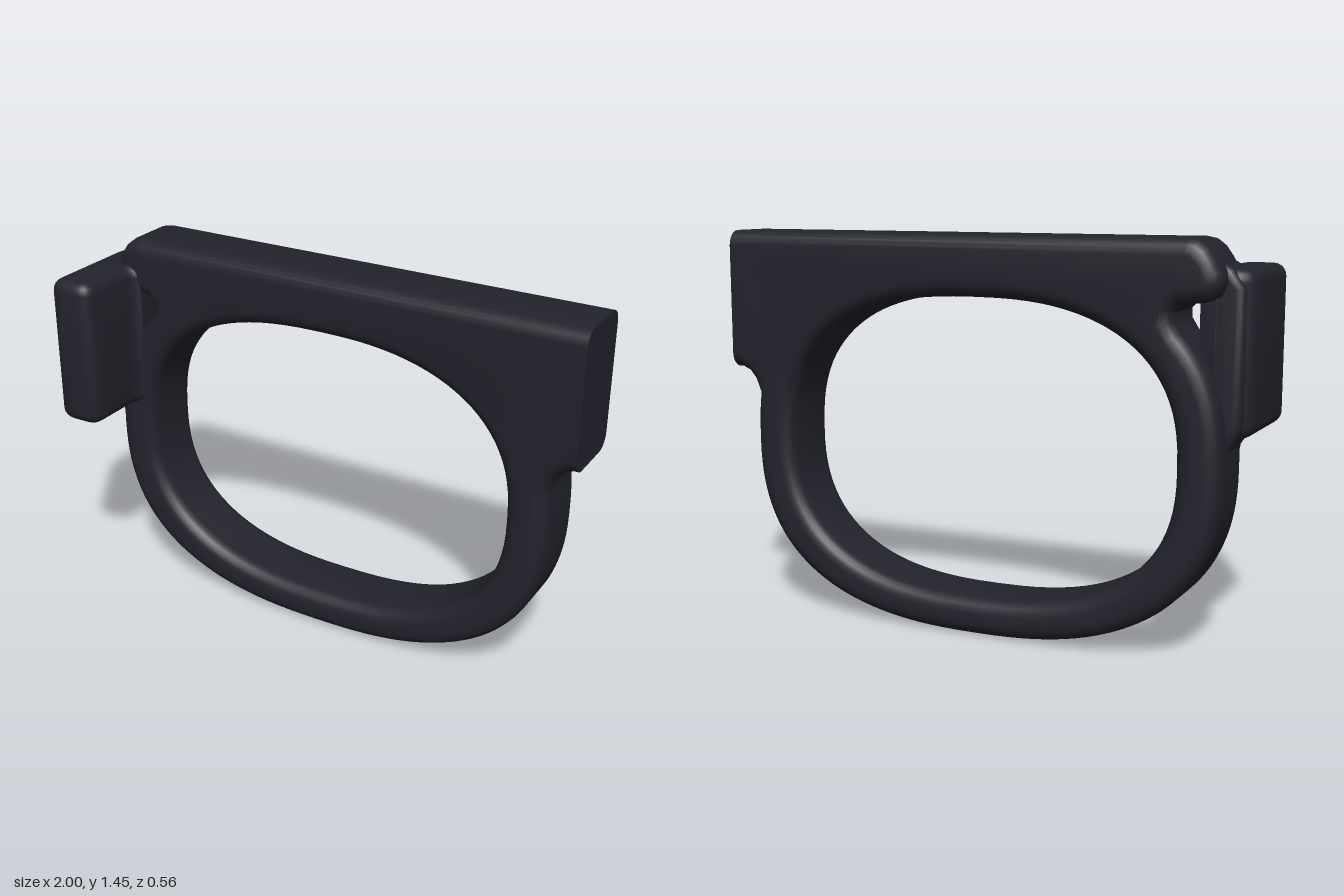
import * as THREE from 'three';
import { toCreasedNormals } from 'three/addons/utils/BufferGeometryUtils.js';

const V = (x, y) => new THREE.Vector2(x, y);

// Points on a superellipse between two angles
function squircle(cx, cy, a, b, t0, t1, n) {
  const p = v => Math.sign(v) * Math.pow(Math.abs(v), 0.8);
  return Array.from({ length: n }, (_, i) => {
    const t = t0 + (t1 - t0) * i / (n - 1);
    return V(cx + a * p(Math.cos(t)), cy + b * p(Math.sin(t)));
  });
}

// Extrusion with rounded edges that keeps the outline and total depth
function roundedExtrude(shape, depth, r) {
  return new THREE.ExtrudeGeometry(shape, {
    depth: depth - 2 * r, bevelEnabled: true, bevelThickness: r,
    bevelSize: r, bevelOffset: -r, bevelSegments: 5, curveSegments: 6,
  }).translate(0, 0, r);
}

export function createModel() {
  const group = new THREE.Group();
  const dark = new THREE.MeshStandardMaterial({ color: 0x23232d });
  dark.name = 'charcoal';
  const add = (geo, name) => {
    const mesh = new THREE.Mesh(toCreasedNormals(geo, 0.75), dark);
    mesh.name = name;
    group.add(mesh);
  };

  // Ring, top bar and end block share one outline, with a notch below the bar's right end
  const outline = new THREE.Shape([
    V(1.07, 0.93), V(0.98, 0.93), V(0.945, 0.915), V(0.92, 0.885),
    ...squircle(-0.01, 0.68, 0.92, 0.68, 0.16, -3.8, 90),
    V(-0.75, 1.175), V(-0.75, 1.205), V(-0.775, 1.23), V(-0.86, 1.24),
    V(-0.9, 1.26), V(-0.92, 1.3), V(-0.915, 1.34), V(-0.89, 1.385),
    V(-0.865, 1.42), V(-0.835, 1.443), V(-0.8, 1.45), V(1.07, 1.45),
  ]);
  outline.holes.push(new THREE.Path(
    squircle(-0.01, 0.685, 0.76, 0.545, 0, Math.PI * 2, 97).slice(0, -1)));
  const frame = roundedExtrude(outline, 0.28, 0.055).translate(0, 0, -0.28);

  // Cut the end block flat at x = 1
  const pos = frame.attributes.position;
  for (let i = 0; i < pos.count; i++) pos.setX(i, Math.min(pos.getX(i), 1));
  add(frame, 'frame');

  // Side tab: plan outline (x, -z) with rounded corners, raised along y
  const plan = new THREE.Shape();
  plan.moveTo(-0.94, -0.28);
  plan.lineTo(-0.88, -0.28);
  plan.quadraticCurveTo(-0.82, -0.28, -0.82, -0.22);
  plan.lineTo(-0.82, -0.05);
  plan.quadraticCurveTo(-0.82, -0.01, -0.79, 0.005);
  plan.lineTo(-0.79, 0.06);
  plan.lineTo(-0.82, 0.18);
  plan.lineTo(-0.9, 0.2);
  plan.quadraticCurveTo(-1, 0.18, -1, 0.12);
  plan.lineTo(-1, -0.22);
  plan.quadraticCurveTo(-1, -0.28, -0.94, -0.28);
  const tab = roundedExtrude(plan, 0.57, 0.045);
  tab.rotateX(-Math.PI / 2).translate(0, 0.78, 0);
  add(tab, 'sideTab');

  // Small webs easing the tab into the ring below and the bar above
  const web = new THREE.Shape([
    V(-0.86, 0.66), V(-0.922, 0.7), V(-0.93, 0.745), V(-0.955, 0.785),
    V(-0.975, 0.83), V(-0.975, 1.29), V(-0.93, 1.35), V(-0.895, 1.37), V(-0.86, 1.37),
  ]);
  add(roundedExtrude(web, 0.19, 0.03).translate(0, 0, -0.2), 'tabWeb');

  return group;
}
